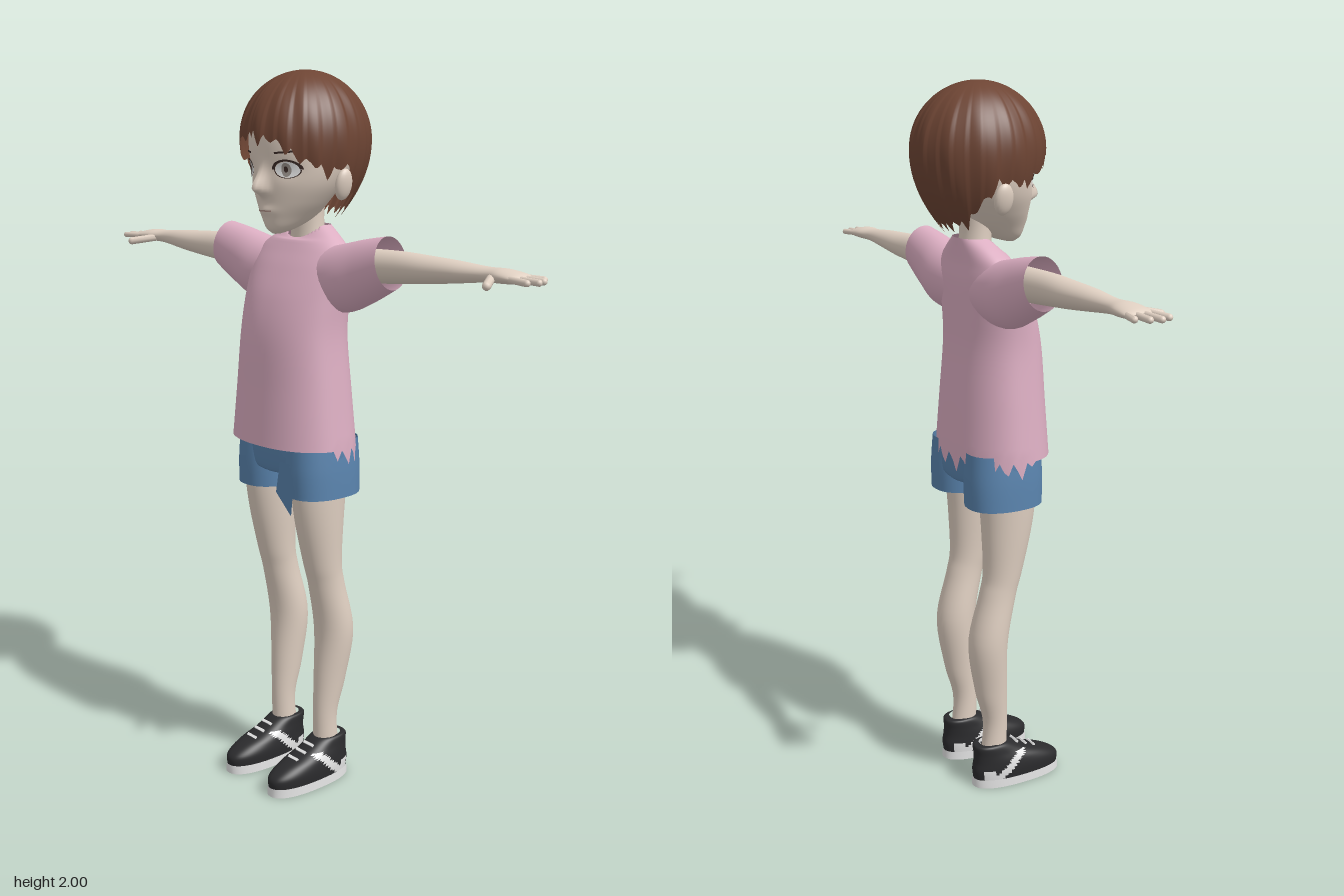
import * as THREE from 'three';

const mat = (name, color, double) => {
  const m = new THREE.MeshStandardMaterial({ color, side: double ? THREE.DoubleSide : THREE.FrontSide });
  m.name = name;
  return m;
};

// Smooth interpolation through rows of numbers
function spline(keys, u) {
  const n = keys.length - 1, i = Math.min(n - 1, Math.floor(u * n)), t = u * n - i;
  const k = (j) => keys[Math.max(0, Math.min(n, j))];
  return keys[i].map((b, c) => {
    const a = k(i - 1)[c], d = k(i + 1)[c], e = k(i + 2)[c];
    return b + 0.5 * t * (d - a + t * (2 * a - 5 * b + 4 * d - e + t * (3 * (b - d) + e - a)));
  });
}

// Closed rings stacked along y; pos(a, u, i, j) gives each point, pick() a material index per face
function rings(seg, rows, pos, pick = () => 0) {
  const pts = [], faces = [[], []];
  for (let i = 0; i <= rows; i++)
    for (let j = 0; j < seg; j++) pts.push(pos((j / seg) * Math.PI * 2, i / rows, i, j));
  for (let i = 0; i < rows; i++)
    for (let j = 0; j < seg; j++) {
      const k = (j + 1) % seg, a = i * seg + j, b = i * seg + k, c = b + seg, d = a + seg;
      const mid = pts[a].clone().add(pts[c]).multiplyScalar(0.5);
      faces[pick(mid)].push(a, b, c, a, c, d);
    }
  const g = new THREE.BufferGeometry().setFromPoints(pts);
  g.setIndex([...faces[0], ...faces[1]]);
  if (faces[1].length) {
    g.addGroup(0, faces[0].length, 0);
    g.addGroup(faces[0].length, faces[1].length, 1);
  }
  g.computeVertexNormals();
  return g;
}

// Cross-sections [height, cx, cz, rx, rz]; along 'x' they read [x, cz, cy, rz, ry]
function loft(keys, { seg = 32, rows = 28, p = 1, along = 'y', deform, pick } = {}) {
  const pw = (s) => Math.sign(s) * Math.abs(s) ** p;
  return rings(seg, rows, (a, u, i, j) => {
    const [h, cx, cz, rx, rz] = spline(keys, u);
    const x = cx + rx * pw(Math.sin(a)), z = cz + rz * pw(Math.cos(a));
    const v = along === 'x' ? new THREE.Vector3(h, z, x) : new THREE.Vector3(x, h, z);
    if (deform) deform(v, a, u, i, j);
    return v;
  }, pick);
}

function mirror(geo) {
  const g = geo.clone().scale(-1, 1, 1);
  if (!g.index) g.setIndex([...Array(g.attributes.position.count).keys()]);
  const x = g.index.array;
  for (let i = 0; i < x.length; i += 3) [x[i], x[i + 1]] = [x[i + 1], x[i]];
  g.computeVertexNormals();
  return g;
}

// Rounded finger between two points
function finger(a, b, r) {
  const A = new THREE.Vector3(...a), B = new THREE.Vector3(...b), d = B.clone().sub(A);
  const g = new THREE.CapsuleGeometry(r, d.length(), 5, 10);
  g.applyQuaternion(new THREE.Quaternion().setFromUnitVectors(new THREE.Vector3(0, 1, 0), d.normalize()));
  const m = A.add(B).multiplyScalar(0.5);
  return g.translate(m.x, m.y, m.z);
}

export function createModel() {
  const model = new THREE.Group();
  model.name = 'child';
  const skin = mat('skin', 0xe0d0c2), hair = mat('hair', 0x6e4534, true);
  const pink = mat('shirtPink', 0xdcaec2, true), denim = mat('denim', 0x5a84ae, true);
  const black = mat('shoeBlack', 0x2b2b2d), white = mat('white', 0xeeeeee);
  const grey = mat('soleGrey', 0x77777a), iris = mat('irisGrey', 0x98908a);
  const lash = mat('lashBrown', 0x3a2a26, true), lip = mat('lipTone', 0xb09288);
  const add = (name, geo, m) => {
    const mesh = new THREE.Mesh(geo, m);
    mesh.name = name;
    model.add(mesh);
  };
  const pair = (name, geo, m) => {
    add('left' + name, geo, m);
    add('right' + name, mirror(geo), m);
  };

  // Head with nose and shallow eye sockets
  const headKeys = [[1.575, 0, 0.088, 0.008, 0.012], [1.59, 0, 0.07, 0.036, 0.046], [1.62, 0, 0.045, 0.064, 0.08],
    [1.66, 0, 0.03, 0.096, 0.1], [1.71, 0, 0.015, 0.125, 0.12], [1.77, 0, 0, 0.14, 0.14],
    [1.85, 0, -0.01, 0.143, 0.15], [1.93, 0, -0.01, 0.11, 0.115], [1.97, 0, -0.01, 0.02, 0.02]];
  const g2 = (x, y, sx, sy) => Math.exp(-((x / sx) ** 2) - (y / sy) ** 2);
  const relief = (x, y) => 0.04 * g2(x, y - 1.695, 0.017, y > 1.695 ? 0.04 : 0.016)
    - 0.008 * g2(Math.abs(x) - 0.07, y - 1.745, 0.035, 0.025) + 0.006 * g2(x, y - 1.637, 0.03, 0.012);
  add('head', loft(headKeys, {
    seg: 96, rows: 64, deform: (v, a) => { if (Math.cos(a) > 0) v.z += relief(v.x, v.y); },
  }), skin);
  const faceZ = (x, y) => {
    let lo = 0, hi = 1;
    for (let i = 0; i < 25; i++) {
      const m = (lo + hi) / 2;
      if (spline(headKeys, m)[0] < y) lo = m; else hi = m;
    }
    const [, , cz, rx, rz] = spline(headKeys, lo);
    return cz + rz * Math.sqrt(Math.max(0, 1 - (x / rx) ** 2)) + relief(x, y);
  };
  // Lays a flat geometry onto the face
  const onFace = (geo, x, y, off) => {
    geo.translate(x, y, 0);
    const p = geo.attributes.position;
    for (let i = 0; i < p.count; i++) p.setZ(i, faceZ(p.getX(i), p.getY(i)) + off);
    geo.computeVertexNormals();
    return geo;
  };
  const disc = (rx, ry) => new THREE.RingGeometry(0.001, 1, 24, 5).scale(rx, ry, 1);
  pair('EyeWhite', onFace(disc(0.03, 0.02), 0.074, 1.745, 0.003), white);
  pair('Iris', onFace(disc(0.012, 0.018), 0.072, 1.745, 0.005), iris);
  pair('Pupil', onFace(disc(0.005, 0.008), 0.072, 1.746, 0.0065), lash);
  pair('UpperLash', onFace(new THREE.RingGeometry(0.92, 1.16, 20, 2, 0, Math.PI).scale(0.031, 0.022, 1), 0.074, 1.746, 0.006), lash);
  pair('LowerLash', onFace(new THREE.RingGeometry(0.97, 1.05, 20, 1, Math.PI, Math.PI).scale(0.03, 0.021, 1), 0.074, 1.745, 0.005), lash);
  pair('Eyebrow', onFace(new THREE.PlaneGeometry(0.05, 0.005, 12, 1).rotateZ(0.1), 0.072, 1.79, 0.004), lash);
  add('mouth', onFace(new THREE.PlaneGeometry(0.05, 0.004, 14, 1), 0, 1.637, 0.003), lip);
  pair('Ear', new THREE.SphereGeometry(1, 20, 14).scale(0.016, 0.042, 0.027).rotateZ(-0.2).translate(0.147, 1.706, -0.017), skin);
  add('neck', loft([[1.46, 0, -0.02, 0.1, 0.05], [1.52, 0, -0.02, 0.07, 0.046], [1.56, 0, -0.022, 0.053, 0.043],
    [1.62, 0, -0.02, 0.05, 0.042], [1.68, 0, -0.02, 0.055, 0.05]]), skin);

  // Hair: shell with ridged locks and a ragged lower edge
  const edge = [[0, 1.835], [30, 1.81], [52, 1.765], [75, 1.74], [97, 1.752], [115, 1.68], [132, 1.64], [180, 1.625]];
  const edgeY = (deg) => {
    const i = Math.max(1, edge.findIndex((e) => e[0] >= deg)), [a, b] = [edge[i - 1], edge[i]];
    return THREE.MathUtils.mapLinear(deg, a[0], b[0], a[1], b[1]);
  };
  add('hair', rings(192, 30, (a, u, i, j) => {
    const deg = Math.abs(((a * 180) / Math.PI + 180) % 360 - 180);
    const saw = (j % 7) / 7, low = 1 - u;
    const tip = (saw < 0.6 ? saw / 0.6 : (1 - saw) / 0.4) * (0.024 + 0.012 * Math.sin(j * 0.37));
    const bottom = edgeY(Math.min(180, deg)) - tip + 0.01;
    const y = bottom + (2 - bottom) * Math.sin((u * Math.PI) / 2);
    let r = y > 1.82 ? Math.sqrt(Math.max(0, 1 - ((y - 1.82) / 0.18) ** 2)) : 1 - 0.45 * ((1.82 - y) / 0.2) ** 2;
    r *= 0.985 + Math.min(1, low * 2) * (0.02 * saw - 0.012 + 0.01 * Math.sin(a * 13 + u * 5));
    return new THREE.Vector3(0.169 * r * Math.sin(a), y, -0.013 + 0.187 * r * Math.cos(a));
  }), hair);

  // Shirt: torn hem at the back, ragged dipped neckline
  add('shirtBody', loft([[1.005, 0, 0.03, 0.2, 0.135], [1.15, 0, 0.03, 0.184, 0.126], [1.3, 0, 0.03, 0.17, 0.116],
    [1.4, 0, 0.018, 0.172, 0.104], [1.48, 0, 0, 0.178, 0.085], [1.53, 0, -0.012, 0.16, 0.067],
    [1.565, 0, -0.022, 0.115, 0.056], [1.595, 0, -0.028, 0.064, 0.05]], {
    seg: 72, rows: 42, p: 0.9,
    deform: (v, a, u, i, j) => {
      const front = Math.max(0, Math.cos(a)) ** 2;
      if (i === 0 && Math.cos(a) < 0.15) v.y -= [0, 0.022, 0.045][j % 3] * (0.8 + 0.3 * Math.sin(j * 1.7));
      v.y -= 0.035 * front * Math.max(0, (u - 0.82) / 0.18);
      if (i === 42 && front > 0.1) v.y -= (j % 2) * 0.014;
    },
  }), pink);
  pair('Sleeve', loft([[0.07, -0.01, 1.455, 0.07, 0.08], [0.17, -0.01, 1.464, 0.075, 0.091],
    [0.25, -0.01, 1.488, 0.066, 0.083], [0.335, -0.01, 1.516, 0.057, 0.068]], {
    along: 'x', rows: 20, deform: (v, a, u) => { v.x -= (v.y - 1.515) * 0.18 * u; },
  }), pink);

  // Shorts with a torn flap
  add('shortsHips', loft([[0.922, 0, 0.012, 0.005, 0.1], [0.93, 0, 0.012, 0.15, 0.108], [0.97, 0, 0.013, 0.178, 0.112],
    [1.06, 0, 0.015, 0.172, 0.113]], { p: 0.85 }), denim);
  pair('ShortsLeg', loft([[0.865, 0.1, 0.012, 0.083, 0.11], [0.94, 0.098, 0.012, 0.083, 0.112], [1.02, 0.095, 0.012, 0.08, 0.108]],
    { p: 0.85, rows: 12 }), denim);
  add('tornFlap', new THREE.ShapeGeometry(new THREE.Shape([[0.035, 0.872], [0.1, 0.816], [0.105, 0.872], [0.105, 0.96],
    [0.05, 0.96]].map(([x, y]) => new THREE.Vector2(x, y)))).rotateX(-0.02).translate(0, 0, 0.142), denim);

  // Legs
  pair('Leg', loft([[0.07, 0.093, -0.015, 0.034, 0.04], [0.19, 0.093, -0.008, 0.033, 0.036], [0.3, 0.095, -0.023, 0.043, 0.048],
    [0.45, 0.099, -0.035, 0.057, 0.056], [0.59, 0.1, -0.006, 0.051, 0.053], [0.66, 0.1, 0.01, 0.053, 0.056],
    [0.78, 0.1, 0.022, 0.062, 0.072], [0.88, 0.1, 0.025, 0.068, 0.083], [0.98, 0.1, 0.02, 0.072, 0.088]], { rows: 44 }), skin);

  // Arms and hands
  pair('Arm', loft([[0.2, -0.01, 1.5, 0.045, 0.047], [0.36, -0.011, 1.508, 0.041, 0.042], [0.47, -0.013, 1.511, 0.041, 0.035],
    [0.56, -0.014, 1.514, 0.036, 0.028], [0.655, -0.018, 1.516, 0.027, 0.019], [0.71, -0.018, 1.517, 0.038, 0.018],
    [0.755, -0.018, 1.515, 0.04, 0.013], [0.772, -0.018, 1.514, 0.032, 0.005]], { along: 'x', rows: 48 }), skin);
  [['IndexFinger', 0.012, 0.026, 0.812], ['MiddleFinger', -0.008, -0.002, 0.824], ['RingFinger', -0.028, -0.029, 0.816],
    ['LittleFinger', -0.046, -0.056, 0.795]].forEach(([name, z0, z1, x]) =>
    pair(name, finger([0.745, 1.515, z0], [x, 1.513, z1], 0.0085), skin));
  pair('Thumb', finger([0.685, 1.512, 0.004], [0.725, 1.502, 0.065], 0.011), skin);

  // Shoes: black uppers with a pale side stripe, pale soles and laces
  pair('ShoeUpper', loft([[0.022, 0.095, 0.06, 0.052, 0.137], [0.05, 0.095, 0.058, 0.054, 0.138], [0.075, 0.095, 0.04, 0.051, 0.116],
    [0.1, 0.094, 0.005, 0.045, 0.08], [0.125, 0.093, -0.02, 0.04, 0.056], [0.13, 0.093, -0.018, 0.03, 0.04]], {
    seg: 80, rows: 30, p: 0.85,
    pick: (v) => (Math.abs(v.x - 0.095) > 0.03 && v.y < 0.1
      && (Math.abs(v.z - 0.005 - (v.y - 0.05) * 1.1) < 0.017 || (v.z < -0.03 && v.z > -0.062 && v.y < 0.055)) ? 1 : 0),
  }), [black, white]);
  const soleEnd = [0.095, 0.06, 0.055, 0.141];
  pair('ShoeSole', loft([[0, ...soleEnd], [0.026, ...soleEnd]], { rows: 2, seg: 48, p: 0.85 }), white);
  pair('SoleBottom', loft([[0, 0.095, 0.06, 0.001, 0.001], [0, ...soleEnd]], { rows: 2, seg: 48, p: 0.85 }), grey);
  for (let i = 0; i < 3; i++)
    pair('Lace' + (i + 1), new THREE.BoxGeometry(0.038, 0.006, 0.008).rotateX(0.6)
      .translate(0.094, 0.116 - i * 0.013, 0.056 + i * 0.029), white);
  return model;
}
